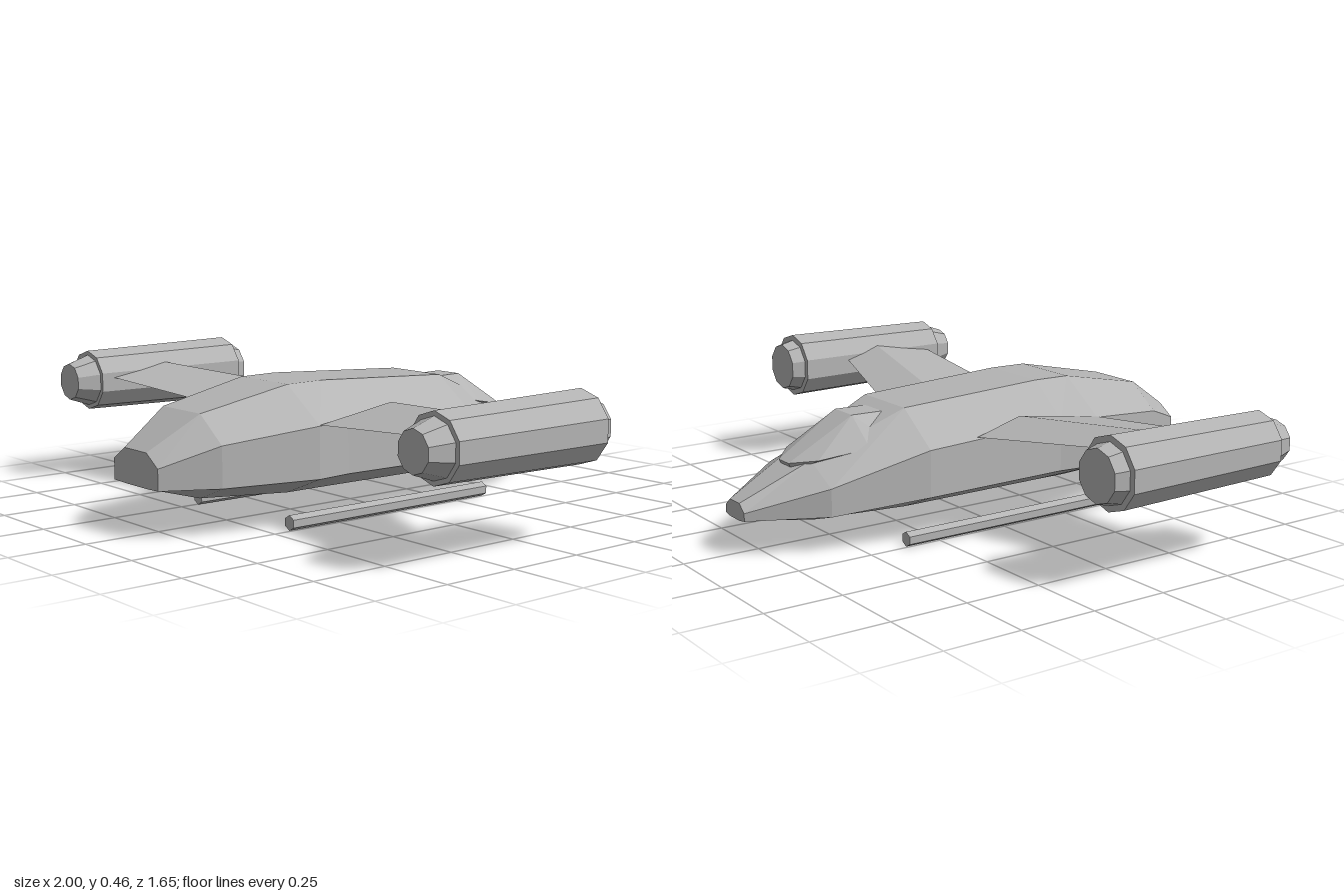
import * as THREE from 'three';
import { ConvexGeometry } from 'three/addons/geometries/ConvexGeometry.js';

// Faceted skin through rings of points, front to back, each ring counterclockwise seen from the front
function loft(rings) {
  const pos = [];
  const tri = (a, b, c) => pos.push(...a, ...b, ...c);
  const n = rings[0].length;
  for (let r = 0; r < rings.length - 1; r++) {
    for (let i = 0; i < n; i++) {
      const j = (i + 1) % n;
      const a = rings[r][i], b = rings[r][j], c = rings[r + 1][j], d = rings[r + 1][i];
      tri(a, d, c);
      tri(a, c, b);
    }
  }
  const first = rings[0], last = rings[rings.length - 1];
  for (let i = 1; i < n - 1; i++) {
    tri(first[0], first[i], first[i + 1]);
    tri(last[0], last[i + 1], last[i]);
  }
  const g = new THREE.BufferGeometry();
  g.setAttribute('position', new THREE.Float32BufferAttribute(pos, 3));
  g.computeVertexNormals();
  return g;
}

export function createModel() {
  const model = new THREE.Group();
  const hull = new THREE.MeshStandardMaterial({ color: 0xb4b4b4, flatShading: true });
  hull.name = 'hullGrey';

  const add = (parent, name, geometry) => {
    const mesh = new THREE.Mesh(geometry, hull);
    mesh.name = name;
    parent.add(mesh);
    return mesh;
  };

  // Fuselage: z, roof half width, roof y, half width, shoulder y, chine y, keel half width, keel y
  const sections = [
    [0.825, 0.06, 0.258, 0.12, 0.218, 0.152, 0.06, 0.15],
    [0.66, 0.10, 0.362, 0.21, 0.28, 0.152, 0.09, 0.105],
    [0.35, 0.12, 0.425, 0.28, 0.315, 0.152, 0.115, 0.086],
    [0.22, 0.12, 0.427, 0.258, 0.318, 0.15, 0.115, 0.086],
    [-0.29, 0.115, 0.402, 0.262, 0.297, 0.147, 0.115, 0.084],
    [-0.6, 0.07, 0.272, 0.192, 0.21, 0.122, 0.08, 0.087],
    [-0.825, 0.03, 0.165, 0.06, 0.14, 0.115, 0.03, 0.11],
  ];
  add(model, 'fuselage', loft(sections.map(([z, t, ty, w, sy, cy, b, by]) => [
    [t, ty, z], [-t, ty, z], [-w, sy, z], [-w, cy, z],
    [-b, by, z], [b, by, z], [w, cy, z], [w, sy, z],
  ])));

  // Raised rear canopy
  const canopyPoints = [];
  for (const s of [1, -1]) {
    for (const [x, y, z] of [
      [0.05, 0.385, -0.33], [0.05, 0.387, -0.44], [0.145, 0.32, -0.37],
      [0.155, 0.303, -0.44], [0.1, 0.275, -0.59], [0.03, 0.262, -0.655],
      [0.05, 0.25, -0.45], [0.03, 0.235, -0.64],
    ]) canopyPoints.push(new THREE.Vector3(s * x, y, z));
  }
  add(model, 'canopy', new ConvexGeometry(canopyPoints));

  for (const s of [1, -1]) {
    const side = s > 0 ? 'left' : 'right';

    // Wing: swept, with a diamond cross-section
    const wingPoints = [
      [0.28, 0.318, 0.35], [0.26, 0.358, 0.05], [0.26, 0.312, -0.115], [0.26, 0.282, 0.05],
      [0.81, 0.358, 0.41], [0.81, 0.395, 0.19], [0.81, 0.36, 0.06], [0.81, 0.342, 0.19],
    ].map(([x, y, z]) => new THREE.Vector3(s * x, y, z));
    add(model, side + 'Wing', new ConvexGeometry(wingPoints));

    // Engine pod with a stepped cap at each end
    const pod = new THREE.Group();
    pod.name = side + 'EnginePod';
    pod.position.set(s * 0.895, 0.343, 0);
    model.add(pod);
    const drum = (name, frontR, backR, frontZ, backZ) => {
      const g = new THREE.CylinderGeometry(frontR, backR, frontZ - backZ, 10);
      g.rotateX(Math.PI / 2);
      g.rotateZ(Math.PI / 2 * 2);
      add(pod, name, g).position.z = (frontZ + backZ) / 2;
    };
    drum('podBody', 0.103, 0.112, 0.455, -0.12);
    drum('podNose', 0.063, 0.09, 0.53, 0.45);
    drum('podTail', 0.095, 0.081, -0.11, -0.165);

    // Landing skid
    const skid = new THREE.CylinderGeometry(0.024, 0.024, 0.81, 6);
    skid.rotateX(Math.PI / 2);
    add(model, side + 'Skid', skid).position.set(s * 0.243, 0.024, 0.035);
  }
  return model;
}
